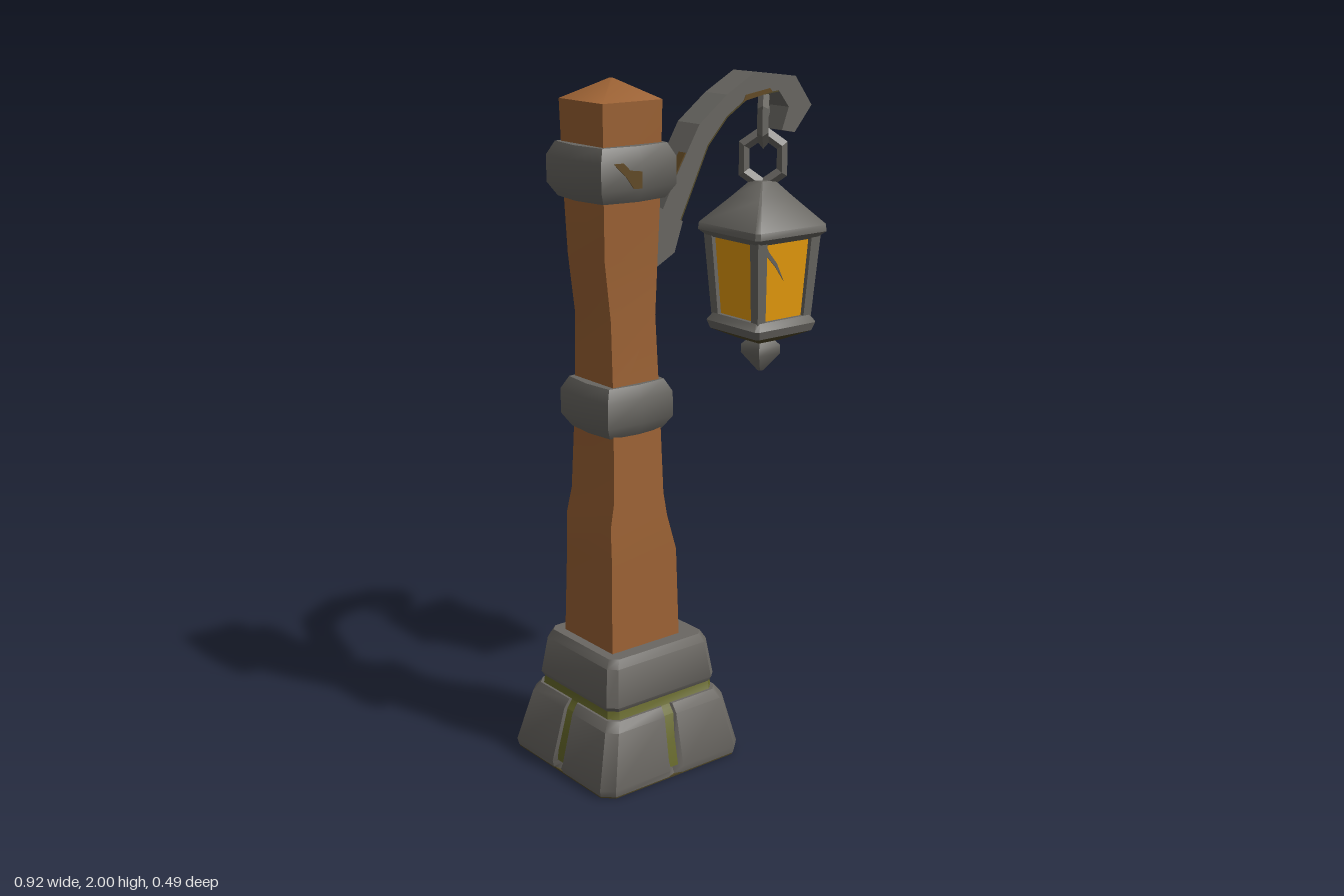
import * as THREE from 'three';
import { toCreasedNormals } from 'three/addons/utils/BufferGeometryUtils.js';

const paint = (name, color) => {
  const m = new THREE.MeshStandardMaterial({ color });
  m.name = name;
  return m;
};

// One square-ish ring: each outline entry is [position along side -1..1, outward offset]
function ring(y, cx, cz, hx, hz, outline = [[-1, 0]]) {
  const pts = [];
  for (let k = 0; k < 4; k++) {
    for (const [u, v] of outline) {
      if (k === 0) pts.push([cx + u * hx, y, cz + hz + v]);
      else if (k === 1) pts.push([cx + hx + v, y, cz - u * hz]);
      else if (k === 2) pts.push([cx - u * hx, y, cz - hz - v]);
      else pts.push([cx - hx - v, y, cz + u * hz]);
    }
  }
  return pts;
}

// Skin over rings stacked upward, closed at both ends, with sharp corners kept
function loft(rings) {
  const pos = [];
  const tri = (a, b, c) => pos.push(...a, ...b, ...c);
  const n = rings[0].length;
  const mid = r => [0, 1, 2].map(i => r.reduce((s, p) => s + p[i], 0) / n);
  const low = rings[0], high = rings[rings.length - 1];
  const lowMid = mid(low), highMid = mid(high);
  for (let i = 0; i < n; i++) {
    const j = (i + 1) % n;
    for (let r = 0; r < rings.length - 1; r++) {
      const a = rings[r], b = rings[r + 1];
      tri(a[i], a[j], b[j]);
      tri(a[i], b[j], b[i]);
    }
    tri(lowMid, low[j], low[i]);
    tri(highMid, high[i], high[j]);
  }
  const g = new THREE.BufferGeometry();
  g.setAttribute('position', new THREE.Float32BufferAttribute(pos, 3));
  return toCreasedNormals(g, 0.72);
}

// Flat piece cut from x,y points
function patch(points, thickness = 0.006) {
  const shape = new THREE.Shape(points.map(p => new THREE.Vector2(...p)));
  return new THREE.ExtrudeGeometry(shape, { depth: thickness, bevelEnabled: false });
}

export function createModel() {
  const model = new THREE.Group();
  model.name = 'lampPost';
  const stone = paint('stone grey', 0x6a6762);
  const metal = paint('iron grey', 0x686661);
  const wood = paint('warm wood', 0x9c6234);
  const glass = paint('amber glass', 0xe89c0c);
  const moss = paint('moss green', 0x66682a);
  const rust = paint('rust brown', 0x624a24);
  const grime = paint('dark olive grime', 0x504728);

  const add = (name, geometry, material, parent = model) => {
    const mesh = new THREE.Mesh(geometry, material);
    mesh.name = name;
    parent.add(mesh);
    return mesh;
  };

  // Lower plinth: chamfered block with a groove in the middle of each side
  const grooved = d => [[-0.87, 0], [-0.1, 0], [0, -d], [0.1, 0], [0.87, 0]];
  const chamfered = [[-0.87, 0], [0.87, 0]];
  const bx = -0.205;
  add('plinthSole', loft([
    ring(0, bx, -0.005, 0.249, 0.237, chamfered),
    ring(0.006, bx, -0.005, 0.25, 0.238, chamfered),
  ]), grime);
  add('lowerPlinth', loft([
    ring(0.005, bx, -0.005, 0.251, 0.239, grooved(0.008)),
    ring(0.025, bx, -0.005, 0.255, 0.243, grooved(0.022)),
    ring(0.185, bx, 0, 0.216, 0.209, grooved(0.045)),
    ring(0.212, bx, 0, 0.198, 0.192, grooved(0.045)),
  ]), stone);

  // Moss core fills the grooves and the joint under the upper plinth
  add('mossInGrooves', loft([
    ring(0.03, bx, -0.005, 0.244, 0.232, chamfered),
    ring(0.185, bx, 0, 0.207, 0.2, chamfered),
    ring(0.21, bx, 0, 0.191, 0.184, chamfered),
    ring(0.25, bx, 0, 0.188, 0.178, chamfered),
  ]), moss);

  // Upper plinth
  add('upperPlinth', loft([
    ring(0.23, bx, 0, 0.186, 0.177, chamfered),
    ring(0.25, bx, 0, 0.197, 0.187, chamfered),
    ring(0.36, bx, 0, 0.182, 0.17, chamfered),
    ring(0.385, bx, 0, 0.168, 0.158, chamfered),
  ]), stone);

  // Moss lying on the two ledges at the back
  const lie = (name, points, y) => {
    const mesh = add(name, patch(points), moss);
    mesh.rotation.x = -Math.PI / 2;
    mesh.position.y = y;
  };
  lie('mossOnUpperPlinth', [[-0.17, 0.15], [-0.05, 0.15], [-0.04, 0.06], [-0.1, 0.06], [-0.11, 0.11]], 0.382);
  lie('mossOnLowerLedge', [[-0.25, 0.175], [-0.03, 0.175], [-0.03, 0.2], [-0.14, 0.204], [-0.24, 0.202]], 0.208);

  // Wooden post, uneven along its height: y, left, right, half depth
  add('woodenPost', loft([
    [0.36, -0.345, -0.1, 0.117],
    [0.65, -0.337, -0.105, 0.11],
    [0.76, -0.337, -0.135, 0.106],
    [0.83, -0.322, -0.145, 0.102],
    [1.1, -0.312, -0.15, 0.092],
    [1.35, -0.312, -0.158, 0.084],
    [1.52, -0.332, -0.15, 0.086],
    [1.7, -0.338, -0.145, 0.093],
    [1.945, -0.343, -0.143, 0.1],
    [2, -0.244, -0.236, 0.004],
  ].map(([y, l, r, h]) => ring(y, (l + r) / 2, 0, (r - l) / 2, h))), wood);

  // Iron bands around the post
  const band = (name, cx, y0, y1, hx, hz, bulge) => add(name, loft(
    [[0, -0.022], [0.25, 0], [0.75, 0], [1, -0.018]].map(([t, inset]) =>
      ring(y0 + (y1 - y0) * t, cx, 0, hx + inset, hz + inset, [[-1, 0], [0, bulge]]))), metal);
  band('upperBand', -0.243, 1.68, 1.83, 0.127, 0.127, 0.016);
  band('middleBand', -0.233, 1.02, 1.165, 0.114, 0.113, 0.01);
  const stain = add('rustOnBand', patch([
    [-0.09, 0.035], [-0.06, 0.035], [-0.04, 0.015], [-0.003, 0.01], [-0.003, -0.036], [-0.03, -0.034], [-0.05, -0.005], [-0.07, 0.015],
  ]), rust);
  stain.position.set(-0.243, 1.755, 0.14);
  stain.rotation.y = -0.125;

  // Curved bracket arm with its foot against the post
  const inner = [[0.325, 1.935], [0.21, 1.925], [0.13, 1.875], [0.06, 1.8], [-0.045, 1.585]];
  const arm = add('bracketArm', patch([
    [-0.12, 1.6], [-0.06, 1.71], [0.03, 1.86], [0.13, 1.935], [0.235, 1.992], [0.39, 1.972], [0.455, 1.885],
    [0.39, 1.81], [0.34, 1.82], [0.365, 1.885], ...inner,
  ], 0.096), metal);
  arm.position.z = -0.049;
  const under = add('grimeUnderArm', patch([
    ...inner, ...inner.map(([x, y]) => [x + 0.004, y - 0.004]).reverse(),
  ], 0.094), grime);
  under.position.z = -0.048;
  const foot = add('armFoot', patch([[-0.16, 1.64], [-0.12, 1.645], [-0.035, 1.595], [-0.065, 1.51], [-0.16, 1.46]], 0.108), metal);
  foot.position.z = -0.054;
  const armRust = add('rustOnArm', new THREE.BoxGeometry(0.08, 0.006, 0.03), rust);
  armRust.position.set(-0.037, 1.749, 0.03);
  armRust.rotation.z = 1.03;
  const edgeRust = add('rustOnArmEdge', patch([[0.19, 1.912], [0.3, 1.933], [0.29, 1.943], [0.2, 1.93]]), rust);
  edgeRust.position.z = 0.043;

  // Chain links turned against each other
  [[1.85, 0.058, 0.068, 0.8], [1.735, 0.064, 0.078, -0.75]].forEach(([y, w, h, turn], i) => {
    const link = add('chainLink' + (i + 1), new THREE.TorusGeometry(1, 0.28, 4, 6).toNonIndexed(), metal);
    link.geometry.rotateZ(Math.PI / 6).scale(w, h, 0.058);
    link.geometry.computeVertexNormals();
    link.position.set(0.31, y, 0);
    link.rotation.y = turn;
  });

  // Lantern
  const lantern = new THREE.Group();
  lantern.name = 'lantern';
  lantern.position.x = 0.31;
  model.add(lantern);
  const block = (name, rows, material, outline) => add(name,
    loft(rows.map(([y, h]) => ring(y, 0, 0, h, h, outline))), material, lantern);
  const clipped = [[-0.92, 0], [0.92, 0]];

  block('lanternRoof', [[1.505, 0.118], [1.525, 0.14], [1.545, 0.138], [1.625, 0.066], [1.672, 0.026]], metal, clipped);
  block('lanternGlass', [[1.26, 0.092], [1.515, 0.109]], glass);
  block('lanternTray', [[1.225, 0.112], [1.25, 0.12], [1.272, 0.106]], metal, clipped);
  block('lanternUnderside', [[1.195, 0.05], [1.225, 0.112]], grime, clipped);
  block('lanternFinial', [[1.095, 0.006], [1.15, 0.042], [1.175, 0.042], [1.2, 0.022]], metal);

  for (const sx of [-1, 1]) for (const sz of [-1, 1]) {
    add('lanternCornerPost', loft([
      ring(1.26, sx * 0.09, sz * 0.09, 0.015, 0.015),
      ring(1.52, sx * 0.105, sz * 0.105, 0.018, 0.018),
    ]), metal, lantern);
  }

  // Cracks in the front, left and back panes
  [[0, 1], [Math.PI / 2, -1], [Math.PI, -1]].forEach(([turn, s]) => {
    const side = new THREE.Group();
    side.name = 'paneCrack';
    side.rotation.y = turn;
    lantern.add(side);
    const crack = add('crack', patch(
      [[-0.085, 0.25], [-0.08, 0.215], [-0.04, 0.175], [-0.005, 0.13], [-0.035, 0.185], [-0.068, 0.222]]
        .map(([x, y]) => [x * s, y]), 0.004), metal, side);
    crack.position.set(0, 1.26, 0.0905);
    crack.rotation.x = Math.atan2(0.017, 0.255);
  });
  return model;
}
